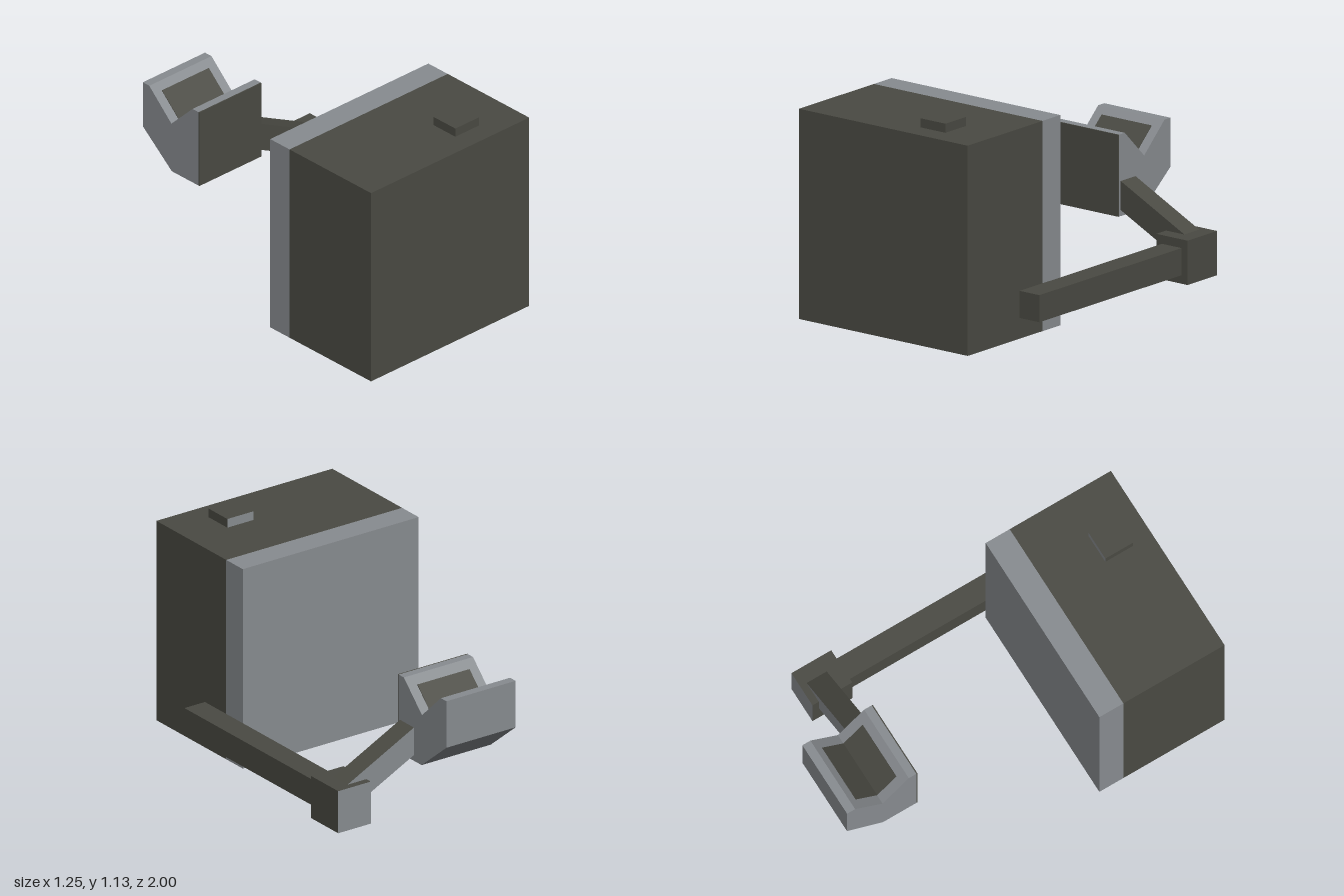
import * as THREE from 'three';

export function createModel() {
  const model = new THREE.Group();
  const dark = new THREE.MeshStandardMaterial({ color: 0x4a4a43 });
  dark.name = 'dark olive';
  const grey = new THREE.MeshStandardMaterial({ color: 0x888c90 });
  grey.name = 'light grey';
  // dark on every side but the back
  const greyBack = [dark, dark, dark, dark, dark, grey];

  // box given by its limits on each axis
  function block(name, [x0, x1], [y0, y1], [z0, z1], material) {
    const geo = new THREE.BoxGeometry(x1 - x0, y1 - y0, z1 - z0);
    geo.translate((x0 + x1) / 2, (y0 + y1) / 2, (z0 + z1) / 2);
    const mesh = new THREE.Mesh(geo, material);
    mesh.name = name;
    model.add(mesh);
    return mesh;
  }

  // main box with its grey back section and top button
  block('body', [-0.625, 0.456], [0, 1.085], [0.41, 1], dark);
  block('bodyBack', [-0.625, 0.456], [0, 1.085], [0.27, 0.41], grey);
  block('topButton', [0.06, 0.22], [1.085, 1.132], [0.725, 0.885], greyBack);

  // arm along the side, ending in an elbow
  block('arm', [0.456, 0.582], [0.107, 0.247], [-0.54, 0.59], dark);
  block('elbow', [0.42, 0.62], [0.063, 0.292], [-0.762, -0.53], greyBack);

  // forearm: a box sheared so that it climbs towards the holder
  const forearm = block('forearm', [0.12, 0.54], [0.35, 0.5], [-0.725, -0.608], greyBack);
  const pos = forearm.geometry.attributes.position;
  for (let i = 0; i < pos.count; i++) {
    pos.setY(i, pos.getY(i) - 0.5 * (pos.getX(i) - 0.12));
  }
  forearm.geometry.computeVertexNormals();

  // holder: V-notched profile, drawn as (-z, y) and extruded along x
  const profile = new THREE.Shape([
    [0.596, 0.315], [0.79, 0.315], [1, 0.485], [1, 0.738], [0.953, 0.738],
    [0.793, 0.588], [0.64, 0.738], [0.596, 0.738],
  ].map(([u, v]) => new THREE.Vector2(u, v)));
  const holderGeo = new THREE.ExtrudeGeometry(profile, { depth: 0.425, bevelEnabled: false });
  holderGeo.rotateY(Math.PI / 2).translate(-0.297, 0, 0);
  const holder = new THREE.Mesh(holderGeo, grey);
  holder.name = 'holder';
  model.add(holder);
  block('holderFront', [-0.297, 0.128], [0.315, 0.738], [-0.596, -0.59], dark);

  // dark pads lying on both slopes of the notch
  function pad(name, zEnd, yEnd) {
    const dz = zEnd + 0.793, dy = yEnd - 0.588;
    const mesh = new THREE.Mesh(new THREE.BoxGeometry(0.32, 0.006, Math.hypot(dz, dy)), dark);
    mesh.position.set(-0.085, 0.588 + dy / 2, -0.793 + dz / 2);
    mesh.rotation.x = -Math.atan(dy / dz);
    mesh.name = name;
    model.add(mesh);
  }
  pad('frontPad', -0.68, 0.699);
  pad('backPad', -0.918, 0.705);

  return model;
}
